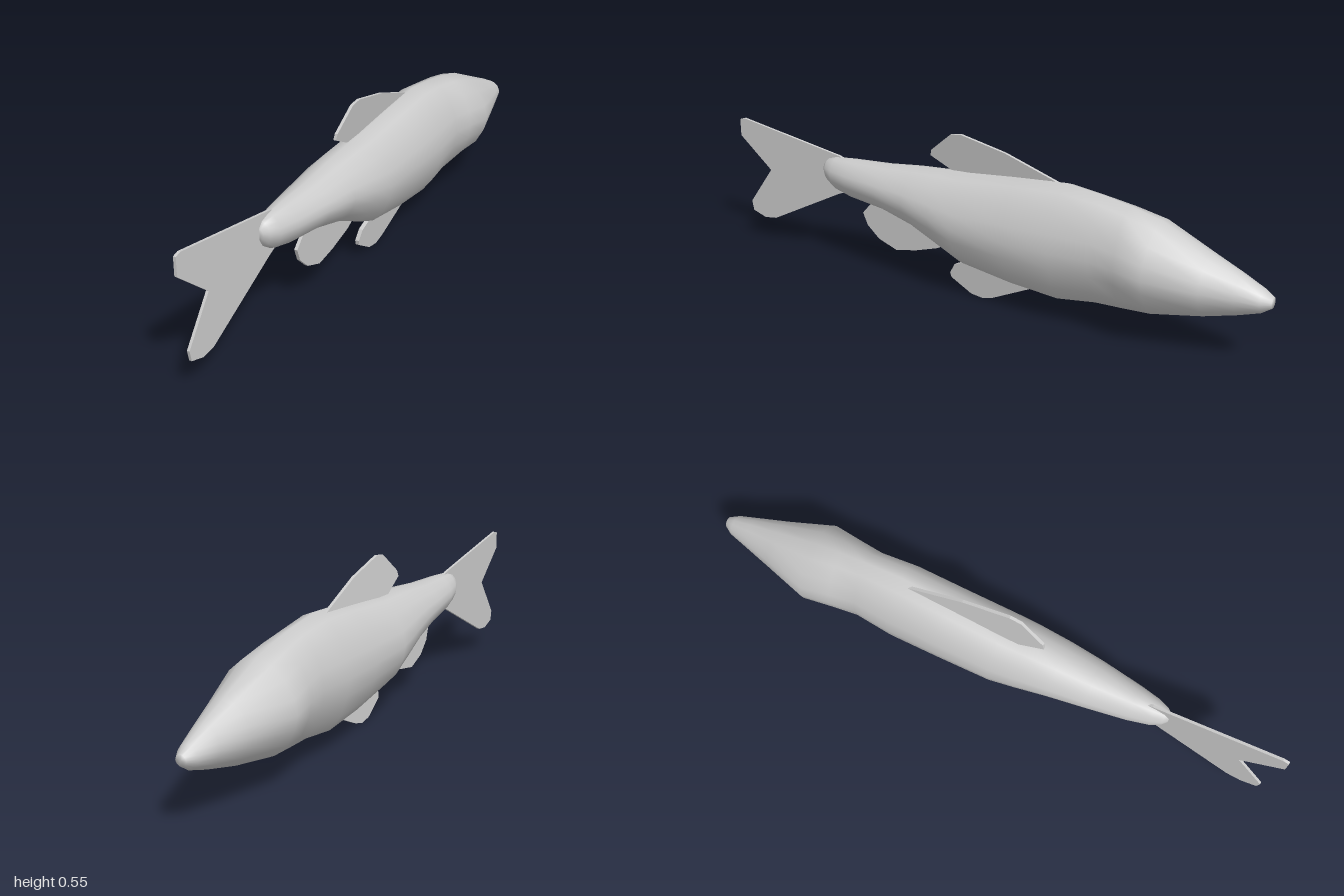
import * as THREE from 'three';

const material = new THREE.MeshStandardMaterial({ color: 0xcccccc, side: THREE.DoubleSide });
const SIDES = 16;

// Body sections from snout to tail stem: z, top y, bottom y, half width
const SECTIONS = [
  [-1.0, 0.238, 0.203, 0.018], [-0.97, 0.257, 0.182, 0.036], [-0.9, 0.29, 0.158, 0.056],
  [-0.8, 0.332, 0.13, 0.085], [-0.64, 0.4, 0.1, 0.134], [-0.54, 0.424, 0.09, 0.118],
  [-0.45, 0.44, 0.083, 0.106], [-0.32, 0.455, 0.064, 0.117], [-0.15, 0.44, 0.078, 0.117],
  [0.04, 0.42, 0.108, 0.117], [0.13, 0.415, 0.15, 0.11], [0.24, 0.405, 0.2, 0.098],
  [0.36, 0.39, 0.232, 0.083], [0.5, 0.382, 0.246, 0.06], [0.57, 0.376, 0.262, 0.044],
  [0.605, 0.365, 0.285, 0.029], [0.62, 0.348, 0.31, 0.014],
];

// Lofts slightly pointed oval rings and closes both ends with a centre point
function bodyGeometry() {
  const pos = [], index = [];
  for (const [z, top, bottom, w] of SECTIONS) {
    for (let i = 0; i < SIDES; i++) {
      const a = (i / SIDES) * Math.PI * 2, s = Math.sin(a);
      const y = (top + bottom) / 2 + ((top - bottom) / 2) * Math.sign(s) * Math.abs(s) ** 1.25;
      pos.push(w * Math.cos(a), y, z);
    }
  }
  for (let r = 0; r < SECTIONS.length - 1; r++) {
    for (let i = 0; i < SIDES; i++) {
      const a = r * SIDES + i, b = r * SIDES + ((i + 1) % SIDES);
      index.push(a, b, b + SIDES, a, b + SIDES, a + SIDES);
    }
  }
  const last = (SECTIONS.length - 1) * SIDES, tip = pos.length / 3;
  for (const [z, top, bottom] of [SECTIONS[0], SECTIONS.at(-1)]) pos.push(0, (top + bottom) / 2, z);
  for (let i = 0; i < SIDES; i++) {
    const j = (i + 1) % SIDES;
    index.push(tip, j, i, tip + 1, last + i, last + j);
  }
  const g = new THREE.BufferGeometry();
  g.setAttribute('position', new THREE.Float32BufferAttribute(pos, 3));
  g.setIndex(index);
  g.computeVertexNormals();
  return g;
}

// Thin fin from a (z, y) outline; offset(y, z) bends it sideways
function fin(name, outline, thickness, offset) {
  const shape = new THREE.Shape(outline.map(([z, y]) => new THREE.Vector2(z, y)));
  const g = new THREE.ExtrudeGeometry(shape, { depth: thickness, bevelEnabled: false });
  g.translate(0, 0, -thickness / 2).rotateY(-Math.PI / 2);
  const p = g.attributes.position;
  for (let i = 0; i < p.count; i++) p.setX(i, p.getX(i) + offset(p.getY(i), p.getZ(i)));
  g.computeVertexNormals();
  const mesh = new THREE.Mesh(g, material);
  mesh.name = name;
  return mesh;
}

export function createModel() {
  const fish = new THREE.Group();
  fish.name = 'fish';

  const body = new THREE.Mesh(bodyGeometry(), material);
  body.name = 'body';
  fish.add(body);

  // Forked tail
  fish.add(fin('tailFin', [
    [0.5, 0.36], [0.56, 0.381], [0.98, 0.446], [1.0, 0.44], [1.0, 0.38], [0.87, 0.272],
    [0.97, 0.135], [0.963, 0.1], [0.91, 0.083], [0.86, 0.09], [0.57, 0.24], [0.5, 0.27],
  ], 0.009, () => -0.004));

  // Back fin, leaning a little to one side
  fish.add(fin('dorsalFin', [
    [-0.3, 0.44], [-0.1, 0.511], [0.06, 0.546], [0.1, 0.54], [0.18, 0.472], [0.185, 0.452],
    [0.1, 0.41], [-0.2, 0.41],
  ], 0.01, (y, z) => -0.01 + (y - 0.45) * 0.14 + z * 0.01));

  // Rear belly fin
  fish.add(fin('analFin', [
    [0.11, 0.16], [0.15, 0.137], [0.24, 0.108], [0.32, 0.092], [0.39, 0.118], [0.435, 0.16],
    [0.452, 0.202], [0.41, 0.25], [0.2, 0.25],
  ], 0.011, (y) => 0.008 + (y - 0.08) * 0.04));

  // Forward belly fin
  fish.add(fin('pelvicFin', [
    [-0.22, 0.085], [-0.07, 0.012], [-0.03, 0], [0.015, 0.006], [0.09, 0.05], [0.094, 0.067],
    [0.075, 0.1], [0.03, 0.12], [-0.15, 0.11],
  ], 0.014, (y) => 0.012 + y * 0.09));

  return fish;
}
